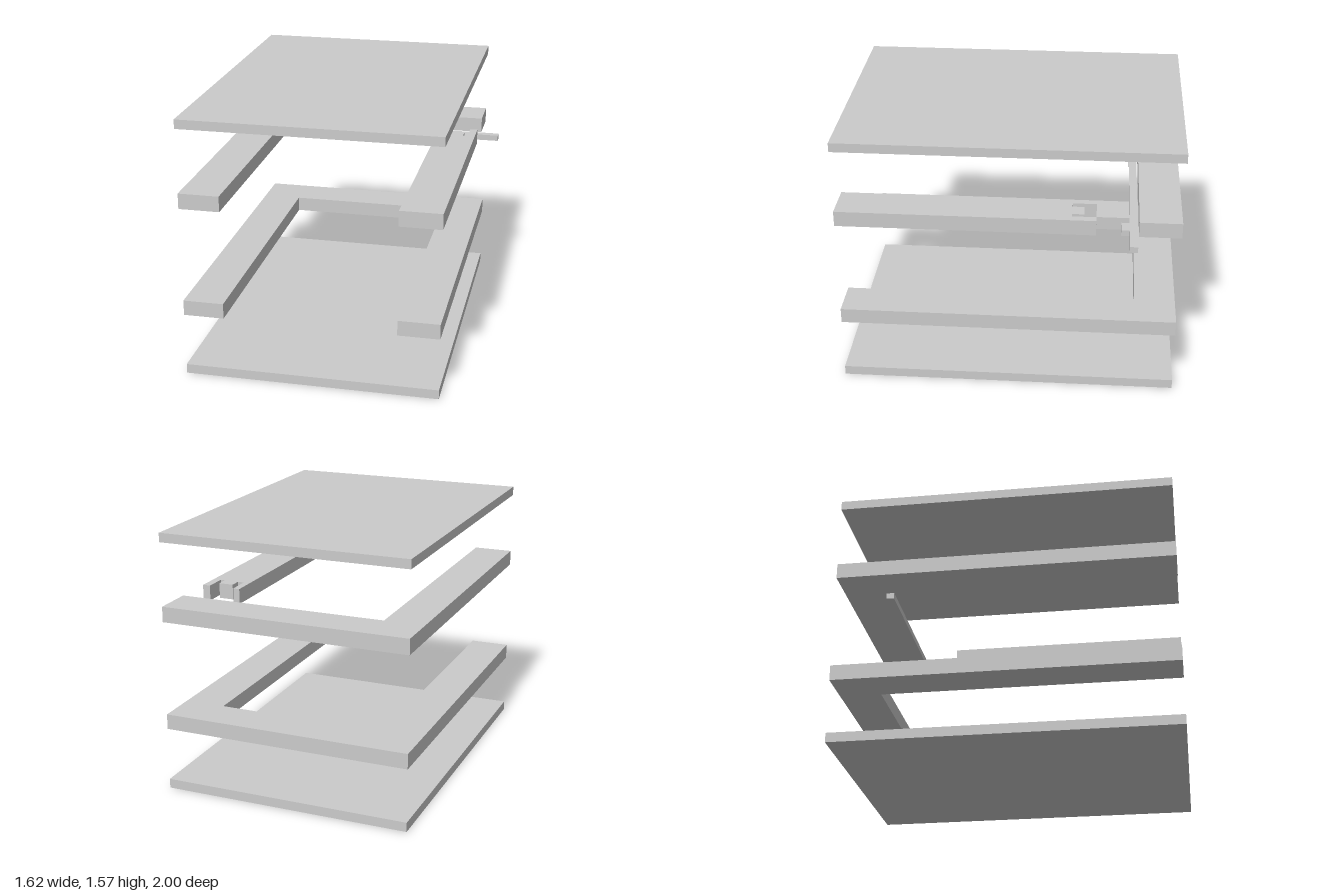
import * as THREE from 'three';

const X0 = -0.81, X1 = 0.695;          // outer sides of the case
const IN0 = -0.57, IN1 = 0.45;         // inner faces of the side arms
const BACK = -0.755;                   // inner face of the back bar

export function createModel() {
  const model = new THREE.Group();
  const material = new THREE.MeshStandardMaterial({ color: 0xcccccc, flatShading: true });

  // Extrudes an outline of [x, z] points from y0 up to y1
  function slab(name, points, y0, y1) {
    const shape = new THREE.Shape(points.map(([x, z]) => new THREE.Vector2(x, -z)));
    const geometry = new THREE.ExtrudeGeometry(shape, { depth: y1 - y0, bevelEnabled: false });
    geometry.rotateX(-Math.PI / 2);
    geometry.translate(0, y0, 0);
    const mesh = new THREE.Mesh(geometry, material);
    mesh.name = name;
    model.add(mesh);
  }

  const rect = (x0, x1, z0, z1) => [[x0, z1], [x1, z1], [x1, z0], [x0, z0]];

  // Bottom and top plates
  slab('bottomPlate', rect(X0, X1, -1, 1), 0, 0.057);
  slab('topPlate', rect(X0, X1, -1, 1), 1.515, 1.57);

  // Lower frame: a U open to the front
  slab('lowerFrame', [
    [X0, 1], [IN0, 1], [IN0, BACK], [IN1, BACK],
    [IN1, 1], [X1, 1], [X1, -1], [X0, -1],
  ], 0.38, 0.472);

  // Upper frame: the same U, its arm at +x cut away by a gap for the slider
  slab('upperFrame', [
    [X0, 1], [IN0, 1], [IN0, BACK], [X1, BACK], [X1, -1], [X0, -1],
  ], 1.042, 1.135);

  // Separate arm, ending in two prongs around a shorter tongue
  const end = -0.51, tongue = -0.44, slot = -0.37;
  slab('slottedArm', [
    [IN1, 1], [X1, 1], [X1, end], [0.648, end], [0.648, slot],
    [0.62, slot], [0.62, tongue], [0.53, tongue], [0.53, slot],
    [0.49, slot], [0.49, end], [IN1, end],
  ], 1.042, 1.135);

  // Latch slider with a small tooth facing the arm
  slab('latchSlider', [
    [-0.585, -0.703], [0.53, -0.703], [0.53, -0.655], [0.62, -0.655],
    [0.62, -0.703], [0.81, -0.703], [0.81, -0.75], [-0.585, -0.75],
  ], 1.004, 1.04);

  return model;
}
